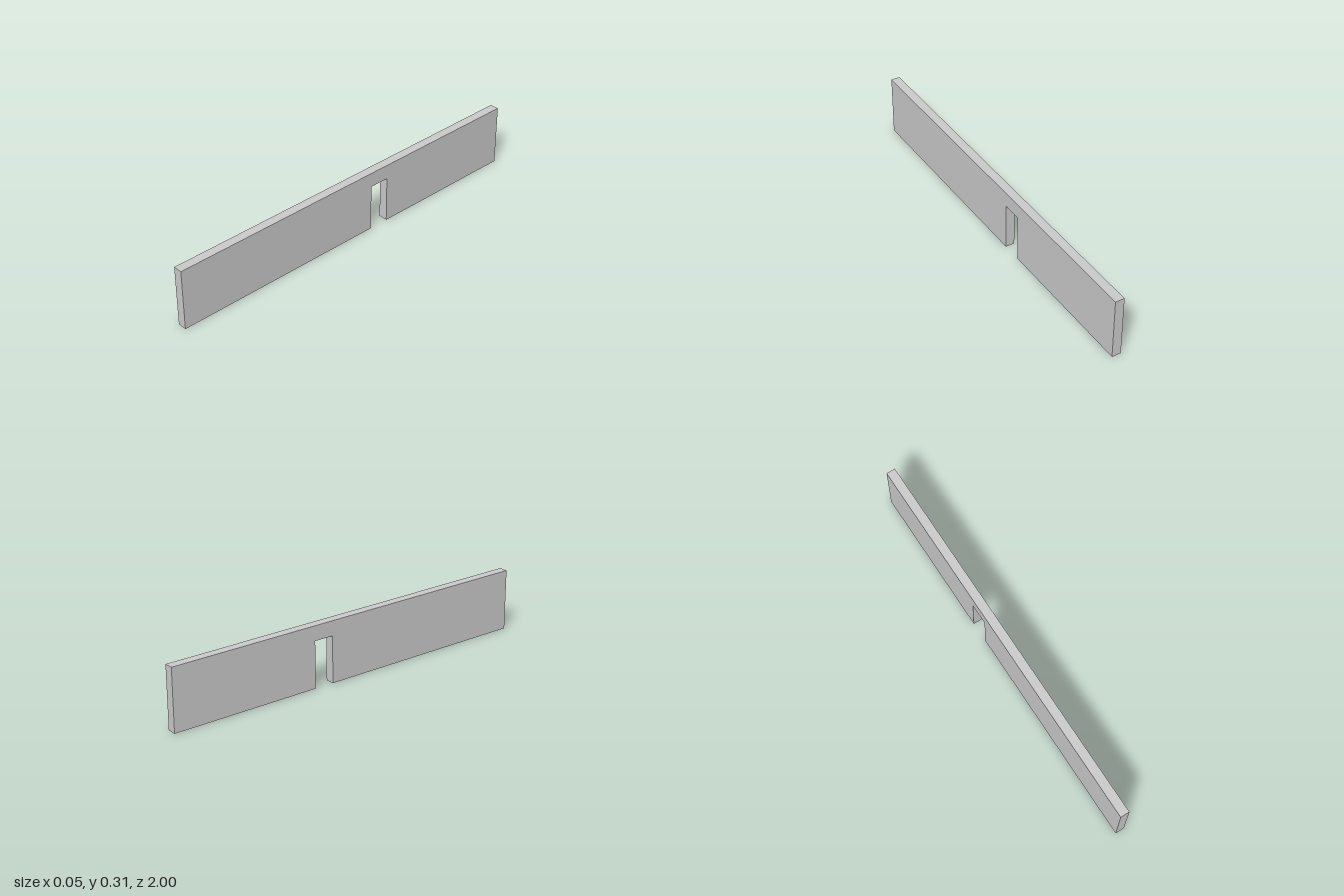
import * as THREE from 'three';

export function createModel() {
  const group = new THREE.Group();
  group.name = 'wallWithDoorway';

  const height = 0.313, thickness = 0.046;
  const door = { start: 0.123, end: 0.225, top: 0.238 };

  // Wall outline seen from the side, with the doorway cut up from the floor
  const outline = new THREE.Shape([
    [-1, 0], [door.start, 0], [door.start, door.top], [door.end, door.top],
    [door.end, 0], [1, 0], [1, height], [-1, height],
  ].map(([x, y]) => new THREE.Vector2(x, y)));

  // Extrude the thickness, then turn the wall so its length runs along z
  const geometry = new THREE.ExtrudeGeometry(outline, { depth: thickness, bevelEnabled: false });
  geometry.translate(0, 0, -thickness / 2).rotateY(Math.PI / 2);

  const wall = new THREE.Mesh(geometry, new THREE.MeshStandardMaterial({ color: 0xcccccc }));
  wall.name = 'wall';
  group.add(wall);
  return group;
}
